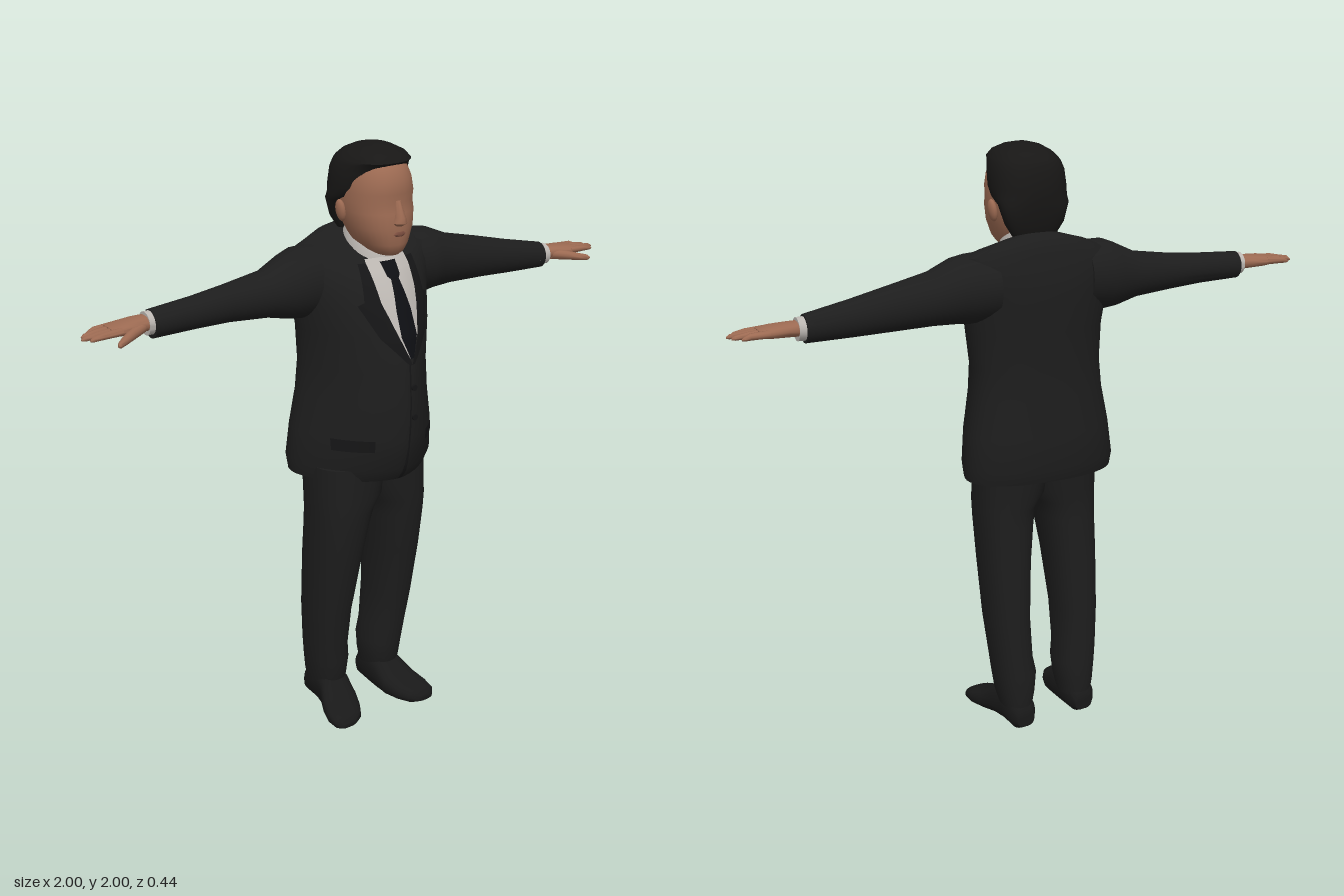
import * as THREE from 'three';
import { toCreasedNormals } from 'three/addons/utils/BufferGeometryUtils.js';

const mat = (name, color) => Object.assign(new THREE.MeshStandardMaterial({ color }), { name });

// Where the ring coordinates (s along the loft, u and v across it) go for each axis
const AXES = {
  x: (s, u, v) => [s, v, u],
  y: (s, u, v) => [u, s, v],
  z: (s, u, v) => [v, u, s],
};

// Closed loft through superellipse rings [s, u0, u1, v0, v1, tilt]
function loft(rings, { axis = 'y', n = 2, nFront = n, vMid = null, seg = 32, crease = 0.9 } = {}) {
  const sorted = [...rings].sort((a, b) => a[0] - b[0]);
  const pos = [], index = [];
  const place = AXES[axis];
  const curve = (c, e) => Math.sign(c) * Math.pow(Math.abs(c), 2 / e);
  for (const [s, u0, u1, v0, v1, tilt = 0] of sorted) {
    const cu = (u0 + u1) / 2, cv = vMid ?? (v0 + v1) / 2;
    for (let j = 0; j < seg; j++) {
      const a = (j / seg) * Math.PI * 2, c = Math.cos(a), d = Math.sin(a);
      const e = d > 0 ? nFront : n;
      const u = cu + ((u1 - u0) / 2) * curve(c, e);
      const v = cv + (d > 0 ? v1 - cv : cv - v0) * curve(d, e);
      pos.push(...place(s + tilt * (v - cv), u, v));
    }
  }
  const last = sorted.length - 1;
  for (let i = 0; i < last; i++) for (let j = 0; j < seg; j++) {
    const a = i * seg + j, b = i * seg + (j + 1) % seg;
    index.push(a, a + seg, b, b, a + seg, b + seg);
  }
  for (const i of [0, last]) {
    const [s, u0, u1, v0, v1] = sorted[i];
    const mid = pos.length / 3;
    pos.push(...place(s, (u0 + u1) / 2, vMid ?? (v0 + v1) / 2));
    for (let j = 0; j < seg; j++) {
      const a = i * seg + j, b = i * seg + (j + 1) % seg;
      index.push(...(i ? [mid, b, a] : [mid, a, b]));
    }
  }
  const g = new THREE.BufferGeometry();
  g.setAttribute('position', new THREE.Float32BufferAttribute(pos, 3));
  g.setIndex(index);
  return toCreasedNormals(g, crease);
}

// Jacket body sections: y, left and right x, back and front z, tilt
const BODY = [
  [0.925, -0.275, 0.24, -0.205, 0.175], [0.97, -0.28, 0.245, -0.218, 0.205], [1.08, -0.265, 0.235, -0.21, 0.22],
  [1.2, -0.24, 0.215, -0.2, 0.218], [1.3, -0.23, 0.21, -0.195, 0.21], [1.42, -0.235, 0.228, -0.2, 0.19],
  [1.5, -0.25, 0.24, -0.203, 0.157], [1.55, -0.255, 0.25, -0.203, 0.132], [1.6, -0.262, 0.262, -0.2, 0.1],
  [1.66, -0.25, 0.262, -0.18, 0.05, -0.15], [1.685, -0.17, 0.185, -0.165, 0.045, -0.35], [1.7, -0.095, 0.115, -0.14, 0.04, -0.5],
];
const BODY_MID = -0.07, BODY_FRONT = 1.6;

// Depth of the jacket front at (x, y)
function frontZ(x, y) {
  let i = 0;
  while (i < BODY.length - 2 && BODY[i + 1][0] < y) i++;
  const t = (y - BODY[i][0]) / (BODY[i + 1][0] - BODY[i][0]);
  const [x0, x1, z1] = [1, 2, 4].map(k => THREE.MathUtils.lerp(BODY[i][k], BODY[i + 1][k], t));
  const r = Math.min(1, Math.abs(x - (x0 + x1) / 2) / ((x1 - x0) / 2));
  return BODY_MID + (z1 - BODY_MID) * Math.pow(1 - r ** BODY_FRONT, 1 / BODY_FRONT);
}

// Cloth panel lying on the jacket front, rows [y, xLeft, xRight] from bottom to top
function panel(rows, lift) {
  const pos = [], index = [], n = 8, fine = [];
  rows.forEach((r, i) => {
    if (i) for (let k = 1; k <= 4; k++) fine.push(r.map((v, c) => THREE.MathUtils.lerp(rows[i - 1][c], v, k / 4)));
    else fine.push(r);
  });
  fine.forEach(([y, a, b], i) => {
    for (let j = 0; j <= n; j++) {
      const x = a + (b - a) * j / n;
      pos.push(x, y, frontZ(x, y) + lift);
      if (i && j) {
        const q = i * (n + 1) + j, p = q - n - 1;
        index.push(p - 1, p, q - 1, p, q, q - 1);
      }
    }
  });
  const g = new THREE.BufferGeometry();
  g.setAttribute('position', new THREE.Float32BufferAttribute(pos, 3));
  g.setIndex(index);
  g.computeVertexNormals();
  return g;
}

export function createModel() {
  const model = new THREE.Group();
  const suit = mat('black suit', 0x1d1d1d), trim = mat('dark trim', 0x151516), shirt = mat('shirt', 0xbcb7b2);
  const skin = mat('skin', 0x9c6a52), lip = mat('lips', 0x7d4f40), hair = mat('hair', 0x181716);
  const tie = mat('tie', 0x0e0f13), shoe = mat('shoe leather', 0x191919);
  for (const m of [shirt, trim, tie]) m.side = THREE.DoubleSide;
  const add = (name, geometry, material, parent = model) => {
    const m = new THREE.Mesh(geometry, material);
    m.name = name;
    parent.add(m);
    return m;
  };

  // Jacket with shirt front, tie, lapels, pockets and buttons
  add('jacket', loft(BODY, { n: 2.3, nFront: BODY_FRONT, vMid: BODY_MID, seg: 48 }), suit);
  add('shirtFront', panel([[1.35, -0.004, 0.004], [1.42, -0.038, 0.042], [1.5, -0.065, 0.07], [1.6, -0.08, 0.09], [1.65, -0.07, 0.08]], 0.006), shirt);
  add('tie', panel([[1.35, -0.006, 0.008], [1.42, -0.03, 0.032], [1.5, -0.028, 0.03], [1.59, -0.014, 0.016], [1.6, -0.024, 0.026], [1.64, -0.028, 0.03]], 0.012), tie);
  add('rightLapel', panel([[1.33, -0.012, 0], [1.42, -0.09, -0.036], [1.52, -0.135, -0.066], [1.53, -0.115, -0.068], [1.64, -0.1, -0.074]], 0.011), trim);
  add('leftLapel', panel([[1.33, 0, 0.012], [1.42, 0.04, 0.094], [1.52, 0.072, 0.14], [1.53, 0.074, 0.12], [1.64, 0.083, 0.11]], 0.011), trim);
  add('jacketOpening', panel([[0.93, -0.03, -0.014], [1.05, -0.018, -0.011], [1.33, -0.008, -0.002]], 0.004), trim);
  for (const s of [-1, 1]) {
    const a = s * 0.15 - 0.018;
    add('pocketFlap', panel([[1.04, a - 0.05, a + 0.05], [1.08, a - 0.05, a + 0.05]], 0.004), trim);
  }
  for (const y of [1.15, 1.25]) {
    const b = add('button', new THREE.CylinderGeometry(0.01, 0.01, 0.008, 12), trim);
    b.rotation.x = Math.PI / 2;
    b.position.set(0.008, y, frontZ(0.008, y) + 0.004);
  }

  // Neck, collar and head
  add('neck', loft([[1.6, -0.055, 0.075, -0.11, 0.04], [1.74, -0.06, 0.08, -0.11, 0.05]]), skin);
  add('collar', loft([[1.64, -0.075, 0.095, -0.13, 0.075, -0.5], [1.7, -0.068, 0.088, -0.125, 0.066, -0.5], [1.717, -0.062, 0.082, -0.118, 0.058, -0.5]]), shirt);
  add('head', loft([
    [1.662, -0.025, 0.045, 0, 0.105], [1.675, -0.045, 0.065, -0.05, 0.12], [1.7, -0.068, 0.088, -0.09, 0.128],
    [1.75, -0.09, 0.11, -0.115, 0.132], [1.8, -0.1, 0.12, -0.13, 0.128], [1.83, -0.1, 0.12, -0.13, 0.12],
    [1.86, -0.1, 0.12, -0.13, 0.126], [1.9, -0.095, 0.115, -0.13, 0.12], [1.94, -0.08, 0.1, -0.115, 0.103], [1.97, -0.05, 0.07, -0.07, 0.06],
  ], { n: 2.2 }), skin);
  add('nose', loft([
    [1.762, -0.006, 0.026, 0.1, 0.138], [1.772, -0.014, 0.034, 0.1, 0.153],
    [1.79, -0.008, 0.028, 0.1, 0.152], [1.84, 0, 0.02, 0.1, 0.128],
  ], { seg: 12 }), skin);
  add('mouth', loft([[1.728, -0.01, 0.03, 0.1, 0.133], [1.735, -0.02, 0.04, 0.1, 0.136], [1.743, -0.012, 0.032, 0.1, 0.134]], { seg: 16 }), lip);
  for (const s of [-1, 1]) {
    const ear = add(s < 0 ? 'rightEar' : 'leftEar', new THREE.SphereGeometry(1, 14, 10), skin);
    ear.scale.set(0.014, 0.036, 0.022);
    ear.position.set(0.01 + s * 0.112, 1.795, -0.03);
    ear.rotation.z = -s * 0.15;
  }
  add('hair', loft([
    [1.72, -0.065, 0.085, -0.128, -0.07], [1.76, -0.09, 0.11, -0.145, -0.055], [1.82, -0.108, 0.128, -0.152, -0.035],
    [1.84, -0.11, 0.13, -0.155, 0.03], [1.87, -0.112, 0.132, -0.156, 0.06], [1.92, -0.108, 0.128, -0.152, 0.08],
    [1.945, -0.1, 0.12, -0.143, 0.095], [1.955, -0.095, 0.115, -0.138, 0.112], [1.975, -0.075, 0.098, -0.115, 0.095],
    [1.992, -0.045, 0.065, -0.075, 0.055], [2.0, -0.012, 0.03, -0.03, 0.015],
  ], { n: 2.4 }), hair);

  // Sleeves, cuffs and hands
  const arms = {
    right: { s: -1, y: 1.553, z: -0.005, sleeve: [
      [-0.77, -0.11, -0.025, 1.5, 1.59], [-0.62, -0.122, -0.026, 1.498, 1.6], [-0.5, -0.135, -0.03, 1.492, 1.612],
      [-0.36, -0.155, -0.01, 1.48, 1.632], [-0.28, -0.18, 0.01, 1.46, 1.67], [-0.24, -0.188, 0.02, 1.455, 1.685], [-0.16, -0.19, 0.02, 1.46, 1.685]] },
    left: { s: 1, y: 1.497, z: 0.005, sleeve: [
      [0.765, -0.1, -0.02, 1.448, 1.538], [0.62, -0.12, -0.018, 1.452, 1.57], [0.5, -0.14, -0.015, 1.457, 1.6],
      [0.36, -0.165, 0, 1.462, 1.633], [0.28, -0.185, 0.02, 1.46, 1.668], [0.24, -0.19, 0.028, 1.455, 1.675], [0.16, -0.19, 0.03, 1.46, 1.68]] },
  };
  for (const [side, { s, y, z, sleeve }] of Object.entries(arms)) {
    const limb = (rows, n = 2.2, seg = 16) => loft(rows.map(([x, z0, z1, y0, y1]) => [s * x, z + z0, z + z1, y + y0, y + y1]), { axis: 'x', n, seg });
    add(side + 'Sleeve', loft(sleeve, { axis: 'x' }), suit);
    add(side + 'Cuff', limb([[0.74, -0.1, -0.025, -0.042, 0.034], [0.788, -0.1, -0.027, -0.04, 0.033]], 2, 24), shirt);
    const hand = new THREE.Group();
    hand.name = side + 'Hand';
    model.add(hand);
    add('palm', limb([[0.76, -0.092, -0.035, -0.026, 0.024], [0.82, -0.105, -0.025, -0.022, 0.022], [0.87, -0.108, -0.016, -0.02, 0.018], [0.91, -0.106, -0.018, -0.015, 0.011]], 2.4, 20), skin, hand);
    [[-0.095, 0.965], [-0.073, 0.99], [-0.05, 1], [-0.029, 0.982]].forEach(([c, tip]) =>
      add('finger', limb([[0.88, c - 0.013, c + 0.013, -0.013, 0.012], [0.94, c - 0.012, c + 0.012, -0.013, 0.008], [tip - 0.01, c - 0.009, c + 0.009, -0.014, 0.001], [tip, c - 0.004, c + 0.004, -0.012, -0.006]], 2, 10), skin, hand));
    add('thumb', limb([[0.8, -0.06, -0.028, -0.022, 0.012], [0.85, -0.04, 0, -0.028, 0.006], [0.89, -0.012, 0.022, -0.03, -0.004], [0.915, 0.012, 0.034, -0.03, -0.01], [0.922, 0.022, 0.032, -0.026, -0.016]], 2, 12), skin, hand);
  }

  // Trousers
  add('rightTrouserLeg', loft([
    [0.08, -0.212, -0.108, -0.145, 0], [0.13, -0.222, -0.1, -0.15, 0.02], [0.2, -0.23, -0.092, -0.15, 0.028], [0.26, -0.235, -0.1, -0.147, 0.035],
    [0.4, -0.242, -0.096, -0.145, 0.058], [0.6, -0.246, -0.076, -0.135, 0.098], [0.74, -0.247, -0.052, -0.125, 0.118],
    [0.8, -0.248, -0.035, -0.125, 0.124], [0.85, -0.25, 0, -0.13, 0.128], [0.97, -0.25, 0.02, -0.14, 0.13]], { n: 2.3 }), suit);
  add('leftTrouserLeg', loft([
    [0.08, 0.015, 0.118, -0.145, 0], [0.13, 0.004, 0.13, -0.15, 0.02], [0.2, -0.004, 0.14, -0.15, 0.028], [0.26, 0.008, 0.146, -0.147, 0.035],
    [0.4, 0.014, 0.16, -0.145, 0.058], [0.6, 0.002, 0.167, -0.135, 0.098], [0.74, -0.015, 0.173, -0.125, 0.118],
    [0.8, -0.025, 0.175, -0.125, 0.124], [0.85, -0.06, 0.175, -0.13, 0.128], [0.97, -0.09, 0.175, -0.14, 0.13]], { n: 2.3 }), suit);

  // Shoes, toes turned out
  const SHOE = [
    [-0.15, 0.015, 0.08, -0.195, -0.13], [-0.13, 0.002, 0.11, -0.21, -0.118], [-0.06, 0, 0.14, -0.215, -0.11], [0, 0, 0.13, -0.228, -0.106],
    [0.05, 0, 0.085, -0.25, -0.11], [0.1, 0, 0.064, -0.264, -0.128], [0.14, 0.002, 0.052, -0.262, -0.152], [0.16, 0.01, 0.032, -0.245, -0.185]];
  for (const s of [-1, 1]) {
    const rows = SHOE.map(([z, y0, y1, a, b]) => s < 0 ? [z, y0 + 0.015, y1 + 0.01, a, b] : [z, y0, y1, -b - 0.1, -a - 0.1]);
    add(s < 0 ? 'rightShoe' : 'leftShoe', loft(rows, { axis: 'z', n: 2.6, seg: 24 }), shoe);
  }
  return model;
}
